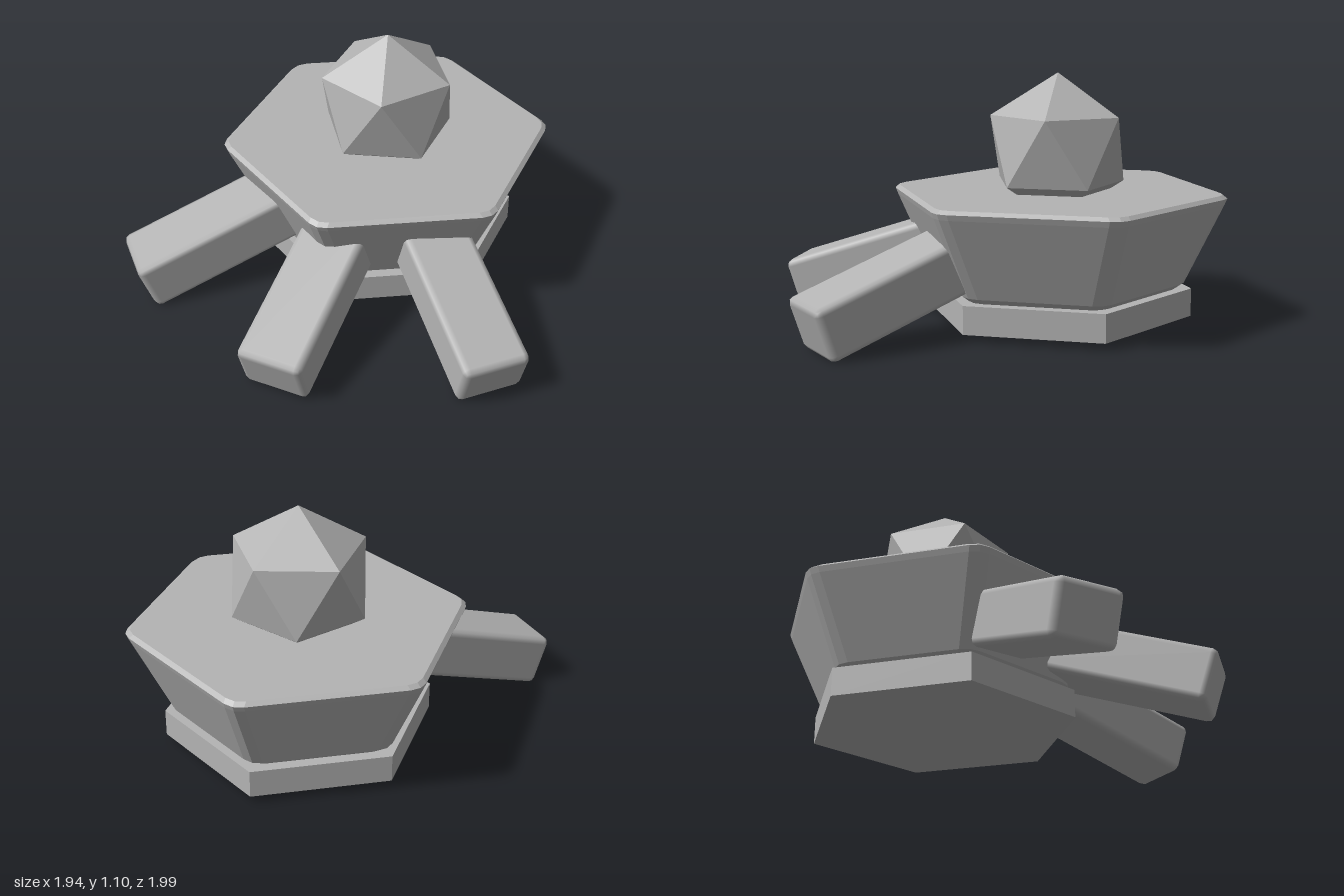
import * as THREE from 'three';
import { RoundedBoxGeometry } from 'three/addons/geometries/RoundedBoxGeometry.js';

// Hexagon ring with softened corners, one corner facing +z
function hexRing(radius, y, soften = 0.05) {
  const corner = (k) => new THREE.Vector3(Math.sin(k * Math.PI / 3) * radius, y, Math.cos(k * Math.PI / 3) * radius);
  const points = [];
  for (let k = 0; k < 6; k++) {
    const c = corner(k);
    points.push(c.clone().lerp(corner(k - 1), soften / radius));
    points.push(new THREE.Vector3(c.x * (1 - 0.013 / radius), y, c.z * (1 - 0.013 / radius)));
    points.push(c.clone().lerp(corner(k + 1), soften / radius));
  }
  return points;
}

// Flat-faced skin over stacked rings, closed at both ends
function loftRings(rings) {
  const positions = [];
  const triangle = (...corners) => corners.forEach((p) => positions.push(p.x, p.y, p.z));
  const n = rings[0].length;
  for (let i = 0; i < rings.length - 1; i++) {
    for (let j = 0; j < n; j++) {
      const k = (j + 1) % n;
      triangle(rings[i][j], rings[i][k], rings[i + 1][k]);
      triangle(rings[i][j], rings[i + 1][k], rings[i + 1][j]);
    }
  }
  const bottom = rings[0], top = rings[rings.length - 1];
  for (let j = 1; j < n - 1; j++) {
    triangle(bottom[0], bottom[j + 1], bottom[j]);
    triangle(top[0], top[j], top[j + 1]);
  }
  const geometry = new THREE.BufferGeometry();
  geometry.setAttribute('position', new THREE.Float32BufferAttribute(positions, 3));
  geometry.computeVertexNormals();
  return geometry;
}

export function createModel() {
  const model = new THREE.Group();
  model.name = 'hexagonalTurret';
  const grey = new THREE.MeshStandardMaterial({ color: 0xb4b4b4 });
  grey.name = 'plainGrey';

  // Everything is arranged around the hexagon's centre
  const hub = new THREE.Group();
  hub.name = 'hub';
  hub.position.z = -0.245;
  model.add(hub);

  const addPart = (name, geometry) => {
    const mesh = new THREE.Mesh(geometry, grey);
    mesh.name = name;
    hub.add(mesh);
    return mesh;
  };

  // Flared hexagonal body with bevelled rims: [radius, height]
  const profile = [[0.55, 0.165], [0.585, 0.19], [0.755, 0.55], [0.765, 0.575], [0.745, 0.59]];
  addPart('body', loftRings(profile.map(([r, y]) => hexRing(r, y))));

  // Hexagonal foot plate
  const plate = new THREE.CylinderGeometry(0.605, 0.605, 0.125, 6).toNonIndexed();
  plate.computeVertexNormals();
  addPart('footPlate', plate).position.y = 0.1025;

  // Faceted gem, one point up, sunk into the top
  const gem = new THREE.IcosahedronGeometry(0.335, 0);
  gem.rotateX(-Math.atan((1 + Math.sqrt(5)) / 2));
  gem.rotateY(Math.PI / 2);
  addPart('gem', gem).position.y = 0.775;

  // Three sloping legs fanned across the front
  const length = 0.8;
  const leg = new RoundedBoxGeometry(0.3, 0.24, length, 1, 0.03);
  leg.translate(0, 0, -length / 2);
  leg.rotateX(0.32);
  leg.translate(0, 0.112, 1.213);
  [['rightLeg', -1], ['middleLeg', 0], ['leftLeg', 1]].forEach(([name, side]) => {
    addPart(name, leg).rotation.y = side * Math.PI / 4;
  });

  return model;
}
